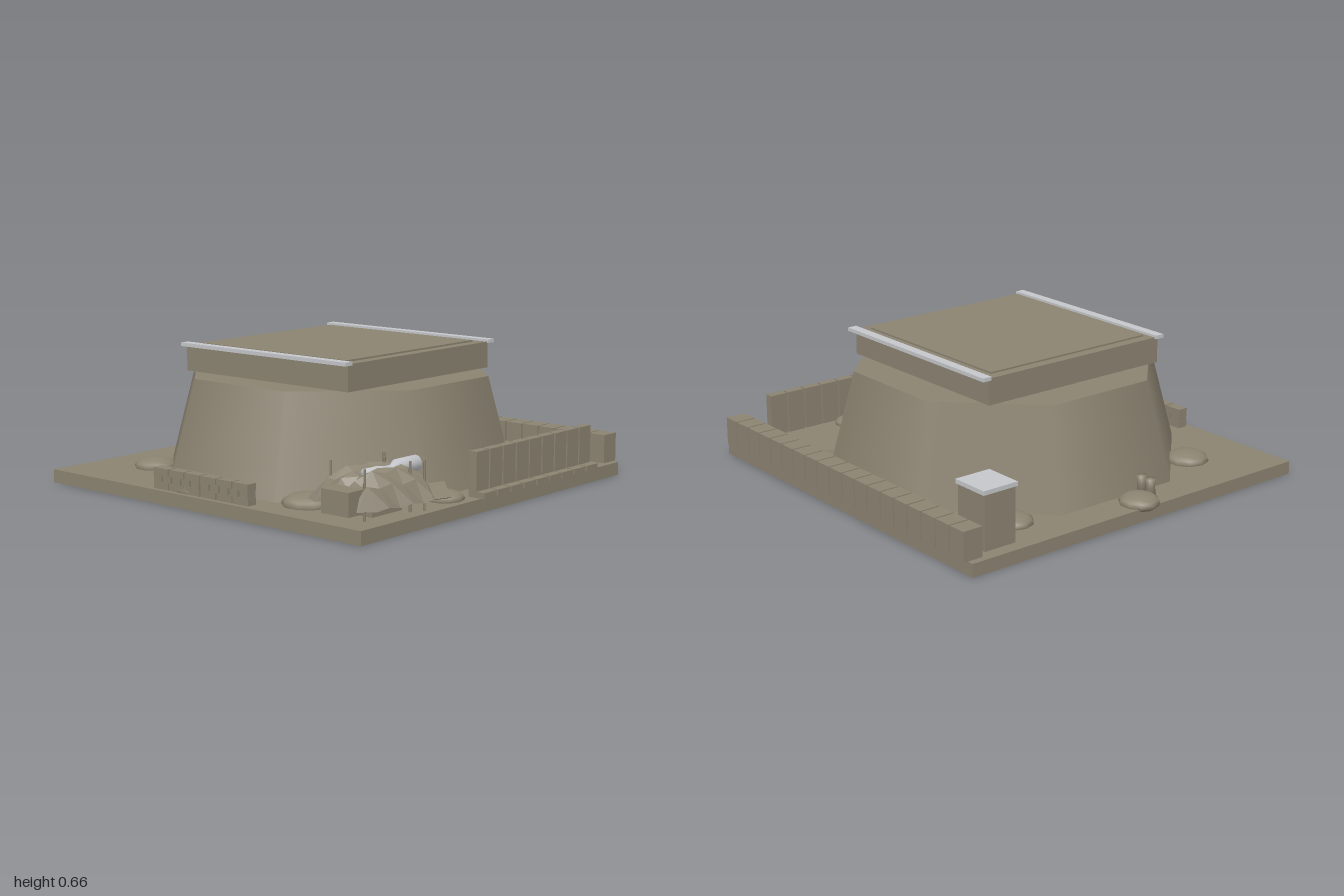
import * as THREE from 'three';

const earth = new THREE.MeshStandardMaterial({ color: 0x8b8371, side: THREE.DoubleSide });
earth.name = 'drab earth';
const steel = new THREE.MeshStandardMaterial({ color: 0xc4c6c9 });
steel.name = 'light steel';

function add(parent, name, geometry, material, x = 0, y = 0, z = 0) {
  const mesh = new THREE.Mesh(geometry, material);
  mesh.name = name;
  mesh.position.set(x, y, z);
  parent.add(mesh);
  return mesh;
}

// Box given by its extents on each axis
function block(parent, name, material, [x0, x1], [y0, y1], [z0, z1]) {
  return add(parent, name, new THREE.BoxGeometry(x1 - x0, y1 - y0, z1 - z0), material,
    (x0 + x1) / 2, (y0 + y1) / 2, (z0 + z1) / 2);
}

function group(parent, name) {
  const g = new THREE.Group();
  g.name = name;
  parent.add(g);
  return g;
}

// Draped cloth: raised plateau, sloping skirts and a shallow trough along the middle
function canopyGeometry() {
  const geo = new THREE.PlaneGeometry(2, 2, 8, 7).rotateX(-Math.PI / 2);
  const p = geo.attributes.position;
  const corners = [[0.63, 0.40], [0.95, 0.43], [0.88, 0.89], [0.55, 0.83]];
  for (let i = 0; i < p.count; i++) {
    const u = p.getX(i), v = p.getZ(i);
    const w = [(1 - u) * (1 - v), (1 + u) * (1 - v), (1 + u) * (1 + v), (1 - u) * (1 + v)];
    let x = 0, z = 0;
    corners.forEach((c, k) => { x += c[0] * w[k] / 4; z += c[1] * w[k] / 4; });
    const edge = Math.max(Math.abs(u), Math.abs(v));
    const skirt = Math.max(0, (edge - 0.6) / 0.4);
    const fold = (i % 2 ? 1 : -1) * 0.012;
    const trough = Math.abs(u) < 0.15 ? 0.035 : 0;
    p.setXYZ(i, x + u * skirt * 0.02 + fold * skirt, 0.252 - skirt * 0.135 - trough * (1 - skirt) + fold * 0.7,
      z + fold * skirt);
  }
  const flat = geo.toNonIndexed();
  flat.computeVertexNormals();
  return flat;
}

export function createModel() {
  const model = new THREE.Group();
  model.name = 'bunker';
  const cx = -0.015, cz = 0.01;

  // Ground slab
  block(model, 'groundSlab', earth, [-0.97, 0.94], [0, 0.063], [-0.945, 0.96]);

  // Eight-sided sloping mound
  const mound = new THREE.CylinderGeometry(0.728, 0.855, 0.467, 8, 1).rotateY(Math.PI / 8);
  add(model, 'mound', mound, earth, cx, 0.2965, cz);

  // Upper block, roof panel and pale roof edges
  block(model, 'upperBlock', earth, [-0.513, 0.487], [0.53, 0.653], [-0.49, 0.518]);
  block(model, 'roofPanel', earth, [-0.465, 0.435], [0.653, 0.661], [-0.44, 0.47]);
  for (const [side, z] of [['back', -0.507], ['front', 0.522]]) {
    block(model, side + 'RoofEdge', steel, [-0.525, 0.495], [0.647, 0.664], [z - 0.023, z + 0.023]);
  }

  // Row of wall blocks along the back
  const backWall = group(model, 'backWall');
  for (let i = 0; i < 19; i++) {
    const x = -0.938 + i * 0.0976;
    block(backWall, 'wallBlock', earth, [x, x + 0.089], [0.063, 0.2], [-0.968, -0.868]);
  }

  // Row of upright barrier slabs, each with a foot
  const barrier = group(model, 'sideBarrier');
  for (let i = 0; i < 9; i++) {
    const z = [-0.738 + i * 0.1, -0.648 + i * 0.1];
    block(barrier, 'barrierSlab', earth, [0.87, 0.913], [0.063, 0.268], z);
    block(barrier, 'barrierFoot', earth, [0.913, 0.957], [0.063, 0.09], z);
  }

  // Low staggered block wall at the front
  const lowWall = group(model, 'frontLowWall');
  for (let row = 0; row < 3; row++) {
    const count = row === 1 ? 10 : 6;
    const pitch = 0.595 / count;
    for (let i = 0; i < count; i++) {
      const x = -0.31 + i * pitch;
      const gap = row === 1 ? 0.012 : 0.008;
      block(lowWall, 'lowWallBlock', earth, [x + gap / 2, x + pitch - gap / 2],
        [0.063 + row * 0.032, 0.095 + row * 0.032], [0.885, 0.936]);
    }
  }

  // Storage box with pale lid
  block(model, 'storageBox', earth, [-0.905, -0.725], [0.063, 0.318], [-0.828, -0.665]);
  block(model, 'storageLid', steel, [-0.912, -0.722], [0.318, 0.338], [-0.84, -0.657]);

  // Flattened boulders: x, z, radius, height of the centre
  const boulders = group(model, 'boulders');
  for (const [x, z, r] of [
    [-0.73, -0.535, 0.095], [-0.905, 0.05, 0.095], [-0.65, 0.6, 0.103],
    [-0.12, 0.845, 0.117], [0.45, 0.735, 0.12], [0.825, 0.265, 0.09],
    [0.79, -0.33, 0.078], [0.39, -0.77, 0.118], [-0.205, -0.84, 0.118],
  ]) {
    const rock = add(boulders, 'boulder', new THREE.SphereGeometry(r, 10, 8), earth, x, 0.07, z);
    rock.scale.y = 0.42;
    if (x === -0.12) rock.scale.z = 0.85;
  }

  // Pair of waisted bollards
  const bollard = new THREE.LatheGeometry(
    [[0, 0], [0.026, 0], [0.02, 0.04], [0.026, 0.078], [0, 0.078]].map(([r, y]) => new THREE.Vector2(r, y)), 10);
  for (const x of [-0.866, -0.808]) add(model, 'bollard', bollard, earth, x, 0.063, 0.155);

  // Covered emplacement: cloth, poles, crate and barrel
  const shelter = group(model, 'shelter');
  add(shelter, 'canopy', canopyGeometry(), earth);
  for (const [x, z] of [[0.6, 0.76], [0.84, 0.82], [0.9, 0.5], [0.66, 0.48], [0.72, 0.55], [0.87, 0.56]]) {
    add(shelter, 'pole', new THREE.CylinderGeometry(0.006, 0.006, 0.22, 6), earth, x, 0.173, z);
  }
  block(shelter, 'crate', earth, [0.69, 0.84], [0.095, 0.2], [0.82, 0.922]);
  block(shelter, 'mount', earth, [0.72, 0.82], [0.063, 0.2], [0.55, 0.75]);
  const flap = add(shelter, 'looseFlap', new THREE.BoxGeometry(0.08, 0.006, 0.085), earth, 0.96, 0.155, 0.475);
  flap.rotation.set(0, -0.3, -0.85);

  const barrelProfile = [[0, 0], [0.035, 0], [0.035, 0.13], [0.016, 0.165], [0.016, 0.2],
    [0.024, 0.26], [0.024, 0.34], [0, 0.34]].map(([r, y]) => new THREE.Vector2(r, y));
  const barrel = new THREE.LatheGeometry(barrelProfile, 16).rotateX(Math.PI / 2);
  add(shelter, 'barrel', barrel, steel, 0.763, 0.237, 0.39);

  return model;
}
